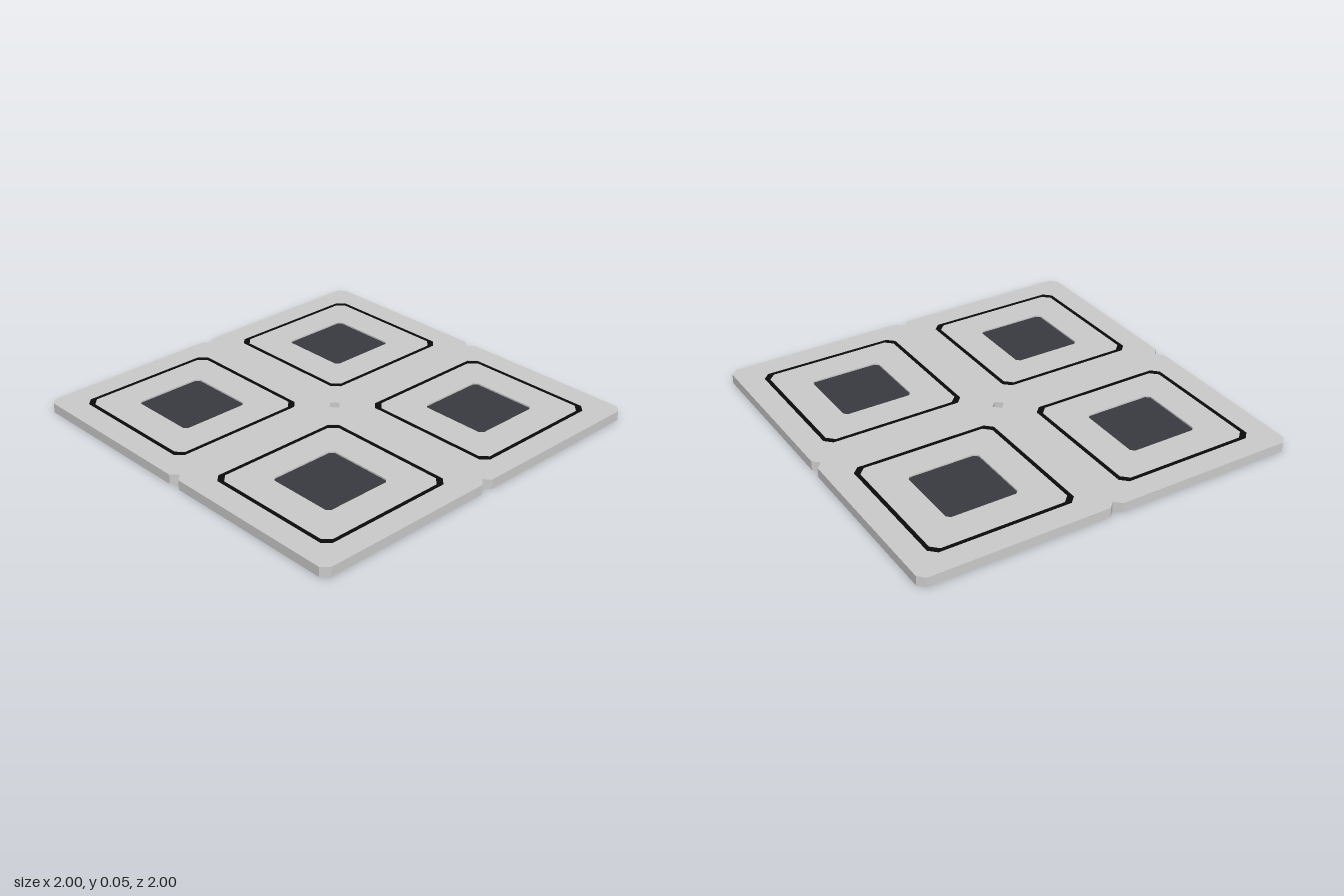
import * as THREE from 'three';

const HEIGHT = 0.05;

// Corners of a square with cut corners, counter-clockwise
function cutSquare(half, cut, cx = 0, cy = 0) {
  const a = half, b = half - cut;
  return [[a, -b], [a, b], [b, a], [-b, a], [-a, b], [-a, -b], [-b, -a], [b, -a]]
    .map(([x, y]) => new THREE.Vector2(cx + x, cy + y));
}

// Flat slab lying in the ground plane between two heights
function slab(name, outline, holes, y0, y1, color) {
  const shape = new THREE.Shape(outline);
  holes.forEach((h) => shape.holes.push(new THREE.Path(h)));
  const geometry = new THREE.ExtrudeGeometry(shape, { depth: y1 - y0, bevelEnabled: false });
  geometry.rotateX(-Math.PI / 2);
  geometry.translate(0, y0, 0);
  const mesh = new THREE.Mesh(geometry, new THREE.MeshStandardMaterial({ color }));
  mesh.name = name;
  return mesh;
}

export function createModel() {
  const model = new THREE.Group();
  model.name = 'fourTilePanel';

  const centres = [[0.5, 0.5], [-0.5, 0.5], [-0.5, -0.5], [0.5, -0.5]];
  const ringOuter = cutSquare(0.377, 0.036);
  const ringInner = cutSquare(0.355, 0.036);
  const window = cutSquare(0.187, 0.018);

  // Base plate: cut corners, a V notch mid-way along each side, diamond hole in the middle
  const c = 0.034;
  const outline = [];
  for (let i = 0; i < 4; i++) {
    const turn = (x, y) => new THREE.Vector2(x, y).rotateAround(new THREE.Vector2(), i * Math.PI / 2);
    outline.push(turn(1, -1 + c), turn(1, -c), turn(1 - c, 0), turn(1, c), turn(1, 1 - c), turn(1 - c, 1));
  }
  const diamond = [[c, 0], [0, c], [-c, 0], [0, -c]].map(([x, y]) => new THREE.Vector2(x, y));
  const ringHoles = centres.map(([x, y]) => cutSquare(0.377, 0.036, x, y));
  model.add(slab('basePlate', outline, [diamond, ...ringHoles], 0, HEIGHT, 0xcccccc));

  // Each tile: black border ring, inner plate and slightly recessed dark centre
  centres.forEach(([x, z]) => {
    const tile = new THREE.Group();
    tile.name = 'tile';
    tile.position.set(x, 0, z);
    tile.add(
      slab('borderRing', ringOuter, [ringInner], 0.001, HEIGHT - 0.001, 0x0a0a0a),
      slab('innerPlate', ringInner, [window], 0, HEIGHT, 0xcccccc),
      slab('centrePanel', window, [], 0.008, HEIGHT - 0.008, 0x393a40),
    );
    model.add(tile);
  });

  return model;
}
